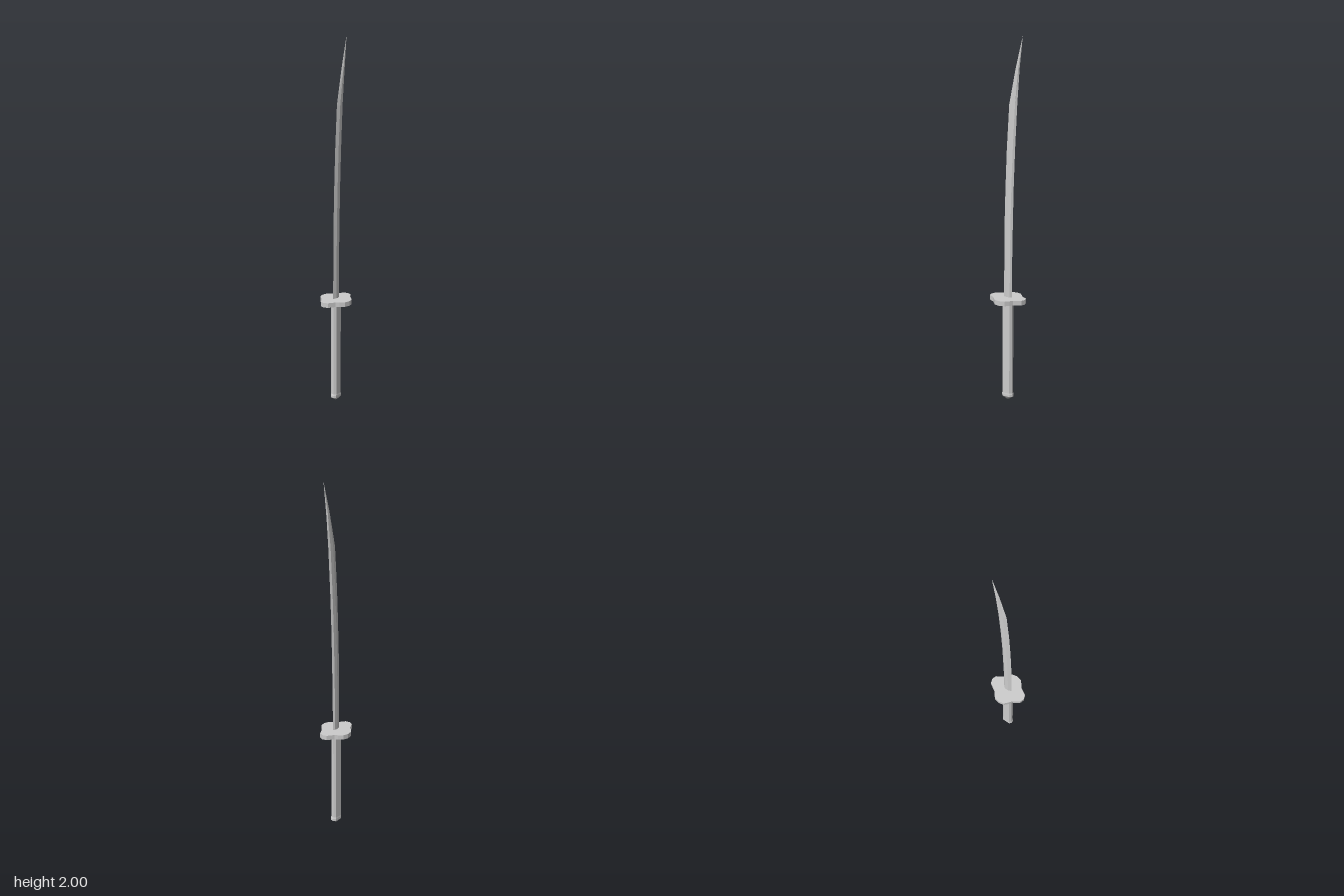
import * as THREE from 'three';

const material = new THREE.MeshStandardMaterial({ color: 0xcccccc, flatShading: true });

// Joins horizontal rings of [x, y, z] (counter-clockwise seen from above) and caps both ends.
function loft(rings) {
  const pos = [];
  const tri = (a, b, c) => pos.push(...a, ...b, ...c);
  const n = rings[0].length;
  for (let r = 0; r < rings.length - 1; r++) {
    for (let i = 0; i < n; i++) {
      const j = (i + 1) % n;
      const [a, b, c, d] = [rings[r][i], rings[r][j], rings[r + 1][j], rings[r + 1][i]];
      tri(a, b, c);
      tri(a, c, d);
    }
  }
  const low = rings[0], high = rings[rings.length - 1];
  for (let i = 1; i < n - 1; i++) {
    tri(low[0], low[i + 1], low[i]);
    tri(high[0], high[i], high[i + 1]);
  }
  const geometry = new THREE.BufferGeometry();
  geometry.setAttribute('position', new THREE.Float32BufferAttribute(pos, 3));
  geometry.computeVertexNormals();
  return geometry;
}

// Six-sided blade section: sharp edge in front, shallow ridge at the back.
function bladeRing([y, edge, back, half]) {
  const z = t => THREE.MathUtils.lerp(edge, back, t);
  return [
    [0, y, z(0)], [half, y, z(0.4)], [half, y, z(0.8)],
    [0, y, z(1)], [-half, y, z(0.8)], [-half, y, z(0.4)],
  ];
}

// Eight-sided grip section.
function gripRing([y, hx, hz]) {
  const outline = [[0.4, 1], [1, 0.66], [1, -0.66], [0.4, -1], [-0.4, -1], [-1, -0.66], [-1, 0.66], [-0.4, 1]];
  return outline.map(([x, z]) => [x * hx, y, z * hz]);
}

export function createModel() {
  const group = new THREE.Group();
  const add = (name, geometry) => {
    const mesh = new THREE.Mesh(geometry, material);
    mesh.name = name;
    group.add(mesh);
  };

  // Curved blade: height, front edge z, back z, half thickness
  add('blade', loft([
    [0.57, 0.024, -0.025, 0.007],
    [0.8, 0.023, -0.027, 0.007],
    [1.0, 0.021, -0.031, 0.007],
    [1.2, 0.015, -0.036, 0.007],
    [1.4, 0.007, -0.044, 0.007],
    [1.64, -0.008, -0.057, 0.007],
    [1.83, -0.047, -0.071, 0.006],
    [2.0, -0.09, -0.09, 0],
  ].map(bladeRing)));

  // Lobed guard: one quarter outline mirrored into four
  const quarter = [[0.092, 0], [0.085, 0.03], [0.064, 0.05], [0.047, 0.062], [0.024, 0.1], [0, 0.108]];
  const half = [...quarter, ...quarter.slice(0, -1).reverse().map(([x, y]) => [-x, y])];
  const outline = [...half, ...half.slice(1, -1).reverse().map(([x, y]) => [x, -y])];
  const guard = new THREE.ExtrudeGeometry(
    new THREE.Shape(outline.map(([x, y]) => new THREE.Vector2(x, y))),
    { depth: 0.026, bevelEnabled: false });
  guard.rotateX(-Math.PI / 2).translate(0, 0.564, 0);
  add('guard', guard);

  // Grip and slightly wider pommel
  add('grip', loft([[0.035, 0.018, 0.03], [0.57, 0.018, 0.03]].map(gripRing)));
  add('pommel', loft([[0, 0.004, 0.006], [0.018, 0.019, 0.033], [0.03, 0.019, 0.033], [0.038, 0.018, 0.03]].map(gripRing)));

  return group;
}
